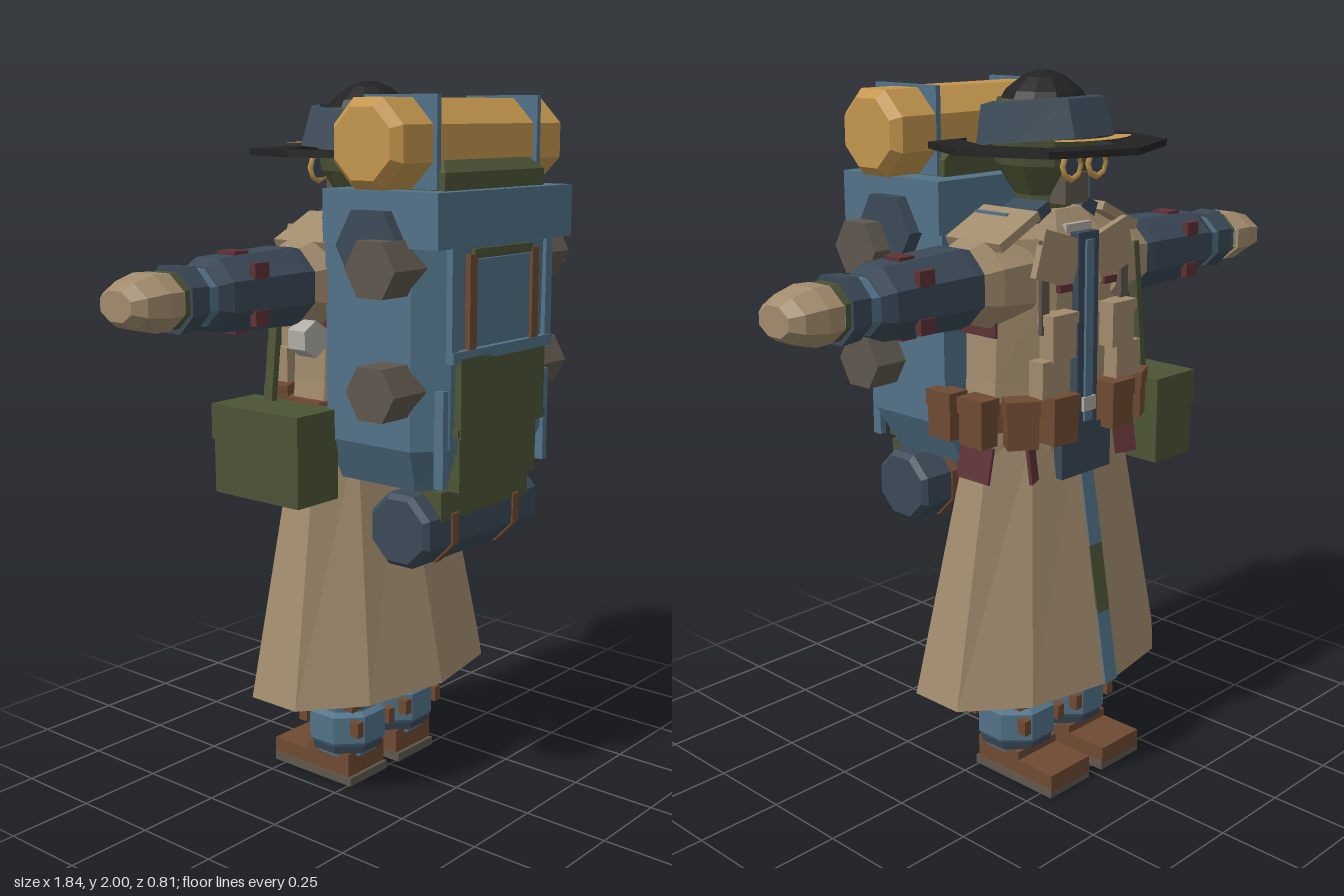
import * as THREE from 'three';

const makeMat = (name, color) => {
  const m = new THREE.MeshStandardMaterial({ color, side: THREE.DoubleSide });
  m.name = name;
  return m;
};

// Regular polygon in plan, running from +z towards +x
const poly = (n, phase = 0) => Array.from({ length: n }, (_, i) => {
  const a = ((i + phase) / n) * Math.PI * 2;
  return [Math.sin(a), Math.cos(a)];
});

// Faceted loft of a plan through rings [y, scaleX, scaleZ, centreZ]
function loft(plan, rings, caps = true) {
  const pos = [], n = plan.length;
  const at = (r, i) => [plan[i % n][0] * r[1], r[0], plan[i % n][1] * r[2] + (r[3] || 0)];
  for (let k = 0; k < rings.length - 1; k++) {
    for (let i = 0; i < n; i++) {
      const a = at(rings[k], i), b = at(rings[k], i + 1), c = at(rings[k + 1], i + 1), d = at(rings[k + 1], i);
      pos.push(...a, ...b, ...c, ...a, ...c, ...d);
    }
  }
  if (caps) {
    const lo = rings[0], hi = rings[rings.length - 1];
    for (let i = 1; i < n - 1; i++) {
      pos.push(...at(lo, 0), ...at(lo, i + 1), ...at(lo, i));
      pos.push(...at(hi, 0), ...at(hi, i), ...at(hi, i + 1));
    }
  }
  const g = new THREE.BufferGeometry();
  g.setAttribute('position', new THREE.Float32BufferAttribute(pos, 3));
  g.computeVertexNormals();
  return g;
}

export function createModel() {
  const root = new THREE.Group();
  const tan = makeMat('coatTan', 0xa18b6d), blue = makeMat('packBlue', 0x517287);
  const slate = makeMat('slateBlue', 0x3b4a58), olive = makeMat('olive', 0x4c5436);
  const yellow = makeMat('bedrollYellow', 0xc3964d), brown = makeMat('leatherBrown', 0x6e4a32);
  const maroon = makeMat('maroon', 0x5e3236), black = makeMat('hatBlack', 0x222223);
  const gray = makeMat('warmGray', 0x5e574d), pale = makeMat('paleGray', 0xb0aca6);

  const add = (name, geo, mat, parent = root, x = 0, y = 0, z = 0) => {
    const m = new THREE.Mesh(geo, mat);
    m.name = name;
    m.position.set(x, y, z);
    parent.add(m);
    return m;
  };
  const box = (name, mat, w, h, d, x, y, z, parent = root) =>
    add(name, new THREE.BoxGeometry(w, h, d), mat, parent, x, y, z);
  // Chamfered roll lying along x
  const roll = (name, mat, n, r, half, y, z, cham) => {
    const m = add(name, loft(poly(n, 0.5), [[-half, r - cham, r - cham], [-half + cham, r, r],
      [half - cham, r, r], [half, r - cham, r - cham]]), mat, root, 0, y, z);
    m.rotation.z = -Math.PI / 2;
    return m;
  };
  const oct = poly(8, 0.5);

  // Legs and boots
  for (const s of [-1, 1]) {
    const leg = new THREE.Group();
    leg.name = s > 0 ? 'leftLeg' : 'rightLeg';
    leg.position.x = s * 0.11;
    root.add(leg);
    box('bootSole', gray, 0.165, 0.025, 0.3, 0, 0.0125, -0.14, leg);
    add('boot', loft([[0.08, 0], [0.08, -0.3], [-0.08, -0.3], [-0.08, 0]],
      [[0.02, 1, 0.97], [0.07, 1, 0.97]]), brown, leg);
    box('bootHeel', brown, 0.16, 0.07, 0.16, 0, 0.06, -0.08, leg);
    add('trouser', loft(oct, [[0.08, 0.09, 0.09], [0.35, 0.105, 0.1], [0.95, 0.11, 0.11]]), blue, leg, 0, 0, -0.075);
    add('gaiter', loft(oct, [[0.1, 0.1, 0.1], [0.13, 0.118, 0.118], [0.21, 0.118, 0.118], [0.22, 0.1, 0.1]]), blue, leg, 0, 0, -0.075);
    add('gaiterBand', loft(oct, [[0.095, 0.105, 0.105], [0.125, 0.113, 0.113]]), slate, leg, 0, 0, -0.075);
    for (const x of [-0.07, 0.07]) for (const z of [-0.16, 0.01]) {
      box('legStrap', brown, 0.04, 0.08, 0.03, x, 0.275, z, leg);
      box('gaiterBuckle', brown, 0.025, 0.045, 0.03, x, 0.18, z - (z < -0.1 ? 0.015 : -0.015), leg);
    }
  }

  // Coat
  add('coatSkirt', loft(poly(10), [[0.31, 0.445, 0.265, -0.07], [1.05, 0.28, 0.13, -0.085]], false), tan);
  add('coatTorso', loft(oct, [[1.0, 0.29, 0.14], [1.2, 0.27, 0.145], [1.5, 0.26, 0.15],
    [1.58, 0.24, 0.14], [1.645, 0.13, 0.09]]), tan, root, 0, 0, -0.08);
  [[0.42, 0.22, blue], [0.615, 0.2, olive], [0.82, 0.22, blue]].forEach(([y, h, m]) => {
    box('frontOpening', m, 0.05, h, 0.009, -0.01, y, -0.333 + (y - 0.31) * 0.165).rotation.x = 0.165;
  });
  add('belt', loft(oct, [[1.07, 0.305, 0.155], [1.15, 0.3, 0.155]]), brown, root, 0, 0, -0.08);
  for (const s of [-1, 1]) {
    box('sidePatch', maroon, 0.008, 0.1, 0.12, s * 0.282, 0.98, -0.09).rotation.z = s * 0.21;
    box('frontPatch', maroon, 0.09, 0.1, 0.009, s * 0.18, 0.98, -0.208).rotation.set(0.15, s * 0.5, 0);
    box('underarmPatch', maroon, 0.008, 0.07, 0.14, s * 0.25, 1.36, -0.07);
    box('lapel', tan, 0.15, 0.13, 0.02, s * 0.11, 1.53, -0.225).rotation.z = s * 0.3;
    box('collar', slate, 0.06, 0.05, 0.12, s * 0.09, 1.635, -0.1).rotation.z = -s * 0.4;
    box('shoulderFlap', tan, 0.16, 0.025, 0.2, s * 0.2, 1.605, -0.08).rotation.z = -s * 0.45;
    box('chestPouch', tan, 0.09, 0.11, 0.05, s * 0.12, 1.32, -0.24);
    box('chestPouchFlap', tan, 0.1, 0.03, 0.06, s * 0.12, 1.375, -0.24);
    box('chestStrap', gray, 0.03, 0.25, 0.012, s * 0.16, 1.46, -0.226);
    box('waistPouch', tan, 0.1, 0.1, 0.05, s * 0.15, 1.22, -0.235);
    box('chestTab', maroon, 0.05, 0.02, 0.015, s * 0.09, 1.45, -0.235);
  }
  box('frontPlacket', slate, 0.08, 0.6, 0.03, 0, 1.29, -0.225);
  box('placketTrim', blue, 0.03, 0.5, 0.008, 0, 1.32, -0.243);
  box('waistPanel', slate, 0.2, 0.14, 0.03, 0, 0.99, -0.225);
  box('beltBuckle', pale, 0.05, 0.04, 0.009, 0, 1.12, -0.246);
  box('scarf', pale, 0.1, 0.06, 0.03, 0, 1.58, -0.19);
  // Belt pouches: [x, z, turn]
  [[0.3, -0.0, 1.57], [0.3, -0.12, 1.57], [0.235, -0.215, 0.6], [0.13, -0.255, 0.1], [-0.1, -0.255, 0], [-0.22, -0.22, -0.5]].forEach(([x, z, a]) => {
    const p = new THREE.Group();
    p.name = 'beltPouch';
    p.position.set(x, 1.1, z);
    p.rotation.y = -a;
    root.add(p);
    box('pouchBody', brown, 0.085, 0.12, 0.06, 0, 0, 0, p);
    box('pouchFlap', brown, 0.092, 0.045, 0.068, 0, 0.05, 0, p);
  });

  // Satchel, its strap and canteen
  box('satchel', olive, 0.16, 0.24, 0.31, -0.35, 1.01, -0.115);
  box('satchelFlap', olive, 0.17, 0.1, 0.32, -0.35, 1.09, -0.115);
  box('satchelStrap', olive, 0.02, 0.42, 0.03, -0.28, 1.32, -0.18).rotation.z = -0.12;
  add('canteen', loft(poly(6), [[-0.03, 0.05, 0.05], [0.03, 0.05, 0.05]]), pale, root, -0.32, 1.33, -0.02).rotation.x = Math.PI / 2;

  // Arms, built outwards along local y
  for (const s of [-1, 1]) {
    const arm = new THREE.Group();
    arm.name = s > 0 ? 'leftArm' : 'rightArm';
    arm.position.set(0, 1.47, -0.08);
    arm.rotation.z = -s * Math.PI / 2;
    root.add(arm);
    const part = (name, mat, rings) => add(name, loft(oct, rings), mat, arm);
    part('shoulder', tan, [[0.16, 0.14, 0.13], [0.27, 0.125, 0.12], [0.34, 0.1, 0.1]]);
    part('sleeve', slate, [[0.3, 0.1, 0.1], [0.36, 0.112, 0.108], [0.62, 0.1, 0.103], [0.66, 0.08, 0.085]]);
    part('forearm', blue, [[0.63, 0.078, 0.082], [0.7, 0.075, 0.08]]);
    part('wristBand', slate, [[0.69, 0.085, 0.085], [0.75, 0.09, 0.09]]);
    part('wristTrim', olive, [[0.745, 0.075, 0.08], [0.775, 0.075, 0.085]]);
    part('cuffTrim', pale, [[0.77, 0.068, 0.085], [0.79, 0.07, 0.09]]);
    part('glove', tan, [[0.78, 0.075, 0.095], [0.83, 0.077, 0.1], [0.89, 0.06, 0.088], [0.92, 0.04, 0.06]]);
    for (const v of [-1, 1]) {
      box('sleeveTab', maroon, 0.03, 0.05, 0.06, v * 0.09, 0.53, 0, arm);
      for (const d of [-1, 1]) box('sleeveBuckle', maroon, 0.04, 0.05, 0.02, v * 0.06, 0.53, d * 0.093, arm);
    }
  }

  // Head, face mask and goggles
  const head = new THREE.Group();
  head.name = 'head';
  head.position.z = -0.075;
  root.add(head);
  add('faceMask', loft(poly(10), [[1.6, 0.075, 0.07], [1.68, 0.08, 0.08], [1.76, 0.13, 0.135],
    [1.86, 0.15, 0.15], [1.93, 0.125, 0.125]]), olive, head);
  add('cap', loft(poly(12), [[1.88, 0.146, 0.146], [1.95, 0.105, 0.105], [1.985, 0.06, 0.06], [2, 0.02, 0.02]]), black, head);
  box('mouthGuard', gray, 0.09, 0.08, 0.06, 0, 1.7, -0.09, head);
  for (const s of [-1, 1]) {
    add('goggleRim', new THREE.TorusGeometry(0.035, 0.01, 4, 8), yellow, head, s * 0.05, 1.765, -0.145);
    box('goggleLens', slate, 0.055, 0.055, 0.009, s * 0.05, 1.765, -0.142, head);
  }

  // Hat: brim ring, open crown band and brass visor
  const ring = (outer, inner) => {
    const path = (r, n) => poly(n).map(([x, z]) => new THREE.Vector2(x * r, z * r));
    const shape = new THREE.Shape(path(outer, 8));
    shape.holes.push(new THREE.Path(path(inner, 8)));
    return new THREE.ExtrudeGeometry(shape, { depth: 0.018, bevelEnabled: false });
  };
  add('hatBrim', ring(0.33, 0.225), black, head, 0, 1.82, 0).rotation.x = Math.PI / 2;
  const crown = add('hatBand', loft(oct, [[1.82, 0.205, 0.19], [1.92, 0.185, 0.165], [1.925, 0.16, 0.14], [1.82, 0.165, 0.15]], false), slate, head);
  crown.position.set(0, -0.16, 0.0);
  crown.rotation.x = 0.09;
  crown.position.set(0, 0.01, -0.17);
  add('hatVisor', new THREE.RingGeometry(0.19, 0.235, 8, 1, Math.PI * 0.28, Math.PI * 0.44), yellow, head, 0, 1.835, 0).rotation.x = -Math.PI / 2;

  // Backpack
  const plan = [[0.21, 0.38], [0.29, 0.31], [0.29, 0.02], [-0.29, 0.02], [-0.29, 0.31], [-0.21, 0.38]];
  add('packBody', loft(plan, [[0.94, 0.78, 0.88], [1.06, 0.99, 0.98], [1.62, 1, 1]]), blue);
  box('packLid', blue, 0.6, 0.14, 0.38, 0, 1.655, 0.21);
  add('topPouch', loft([[0.22, 0.36], [0.22, 0.08], [-0.22, 0.08], [-0.22, 0.36]],
    [[1.72, 1, 1], [1.77, 1, 1], [1.8, 0.85, 0.92]]), olive);
  box('pocketBar', blue, 0.45, 0.03, 0.02, 0, 1.305, 0.385);
  box('pocketPanel', blue, 0.24, 0.22, 0.012, 0, 1.44, 0.383);
  box('pocketTop', olive, 0.26, 0.025, 0.012, 0, 1.565, 0.384);
  box('pocketFlap', olive, 0.38, 0.21, 0.04, 0, 1.195, 0.375);
  box('lowerPocket', olive, 0.35, 0.16, 0.04, 0, 1.02, 0.36);
  box('pocketRim', olive, 0.4, 0.02, 0.025, 0, 1.105, 0.38);
  box('bottomFlap', olive, 0.4, 0.08, 0.12, 0, 0.9, 0.28);
  for (const s of [-1, 1]) {
    box('pocketStrap', brown, 0.03, 0.25, 0.016, s * 0.14, 1.44, 0.386);
    box('packRib', blue, 0.03, 0.3, 0.02, s * 0.21, 1.44, 0.38);
    box('sideStrap', blue, 0.02, 0.26, 0.03, s * 0.23, 1.09, 0.36);
    box('shoulderStrap', blue, 0.04, 0.03, 0.2, s * 0.15, 1.625, 0.0);
  }

  // Bedroll on top, ground mat below
  roll('bedroll', yellow, 8, 0.122, 0.37, 1.842, 0.215, 0.025);
  roll('groundMat', slate, 8, 0.107, 0.26, 0.83, 0.24, 0.015);
  for (const s of [-1, 1]) {
    box('bedrollStrap', blue, 0.016, 0.235, 0.24, s * 0.22, 1.845, 0.22);
    const band = add('matStrap', loft(oct, [[-0.014, 0.112, 0.112], [0.014, 0.112, 0.112]]), brown, root, s * 0.14, 0.83, 0.24);
    band.rotation.z = Math.PI / 2;
  }

  // Hexagonal side rolls: [y, z, radius, outer x, colour]
  for (const s of [-1, 1]) {
    [[1.535, 0.255, 0.082, 0.39, gray], [1.22, 0.255, 0.08, 0.39, gray], [1.585, 0.2, 0.105, 0.335, slate]].forEach(([y, z, r, out, m]) => {
      const h = add('sideRoll', loft(poly(6), [[0, r, r], [out - 0.26, r, r]]), m, root, s * 0.26, y, z);
      h.rotation.z = -s * Math.PI / 2;
    });
  }
  return root;
}
